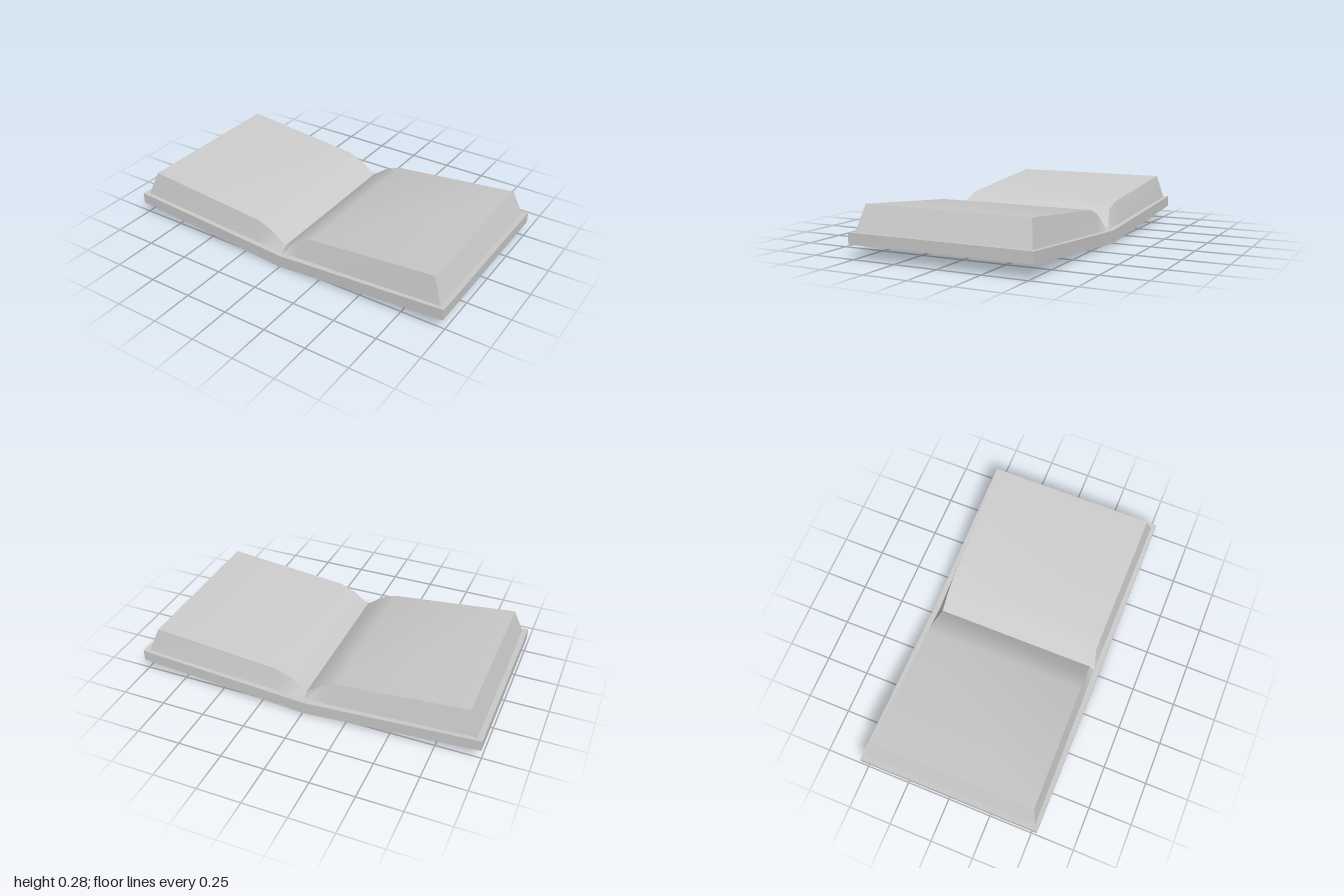
import * as THREE from 'three';
import { toCreasedNormals } from 'three/addons/utils/BufferGeometryUtils.js';

// Joins four-cornered rings, ordered along +x, into a closed solid
function loft(rings) {
  const pos = [];
  const quad = (a, b, c, d) => pos.push(...a, ...b, ...c, ...a, ...c, ...d);
  for (let s = 0; s < rings.length - 1; s++) {
    const A = rings[s], B = rings[s + 1];
    for (let i = 0; i < 4; i++) {
      const j = (i + 1) % 4;
      quad(A[i], B[i], B[j], A[j]);
    }
  }
  const L = rings[0], R = rings[rings.length - 1];
  quad(L[0], L[1], L[2], L[3]);
  quad(R[0], R[3], R[2], R[1]);
  const geo = new THREE.BufferGeometry();
  geo.setAttribute('position', new THREE.Float32BufferAttribute(pos, 3));
  return toCreasedNormals(geo, 0.5);
}

// Half profile from the middle outward, mirrored to the full width
function mirrored(half, makeRing) {
  const left = half.slice(1).reverse().map((p) => makeRing(p, -1));
  return loft([...left, ...half.map((p) => makeRing(p, 1))]);
}

export function createModel() {
  const group = new THREE.Group();
  const grey = new THREE.MeshStandardMaterial({ color: 0xcccccc });
  grey.name = 'light grey';

  const add = (name, geo) => {
    const mesh = new THREE.Mesh(geo, grey);
    mesh.name = name;
    group.add(mesh);
  };

  // Cover: shallow V with an even thickness; [x, bottom, top]
  const coverHalf = [[0, 0, 0.073], [1, 0.077, 0.14]];
  add('cover', mirrored(coverHalf, ([x, b, t], s) => [
    [s * x, b, 0.53], [s * x, t, 0.53], [s * x, t, -0.53], [s * x, b, -0.53],
  ]));

  // Pages: tapered block curving down into the gutter; [base x, top x, top y]
  const pageHalf = [[0, 0, 0.105], [0.09, 0.09, 0.174], [0.18, 0.18, 0.21], [0.97, 0.915, 0.28]];
  add('pages', mirrored(pageHalf, ([xb, xt, yt], s) => {
    const yb = 0.072 + 0.067 * xb;
    const zb = 0.498 + 0.01 * xb, zt = 0.468 + 0.01 * xt;
    return [[s * xb, yb, zb], [s * xt, yt, zt], [s * xt, yt, -zt], [s * xb, yb, -zb]];
  }));

  return group;
}
